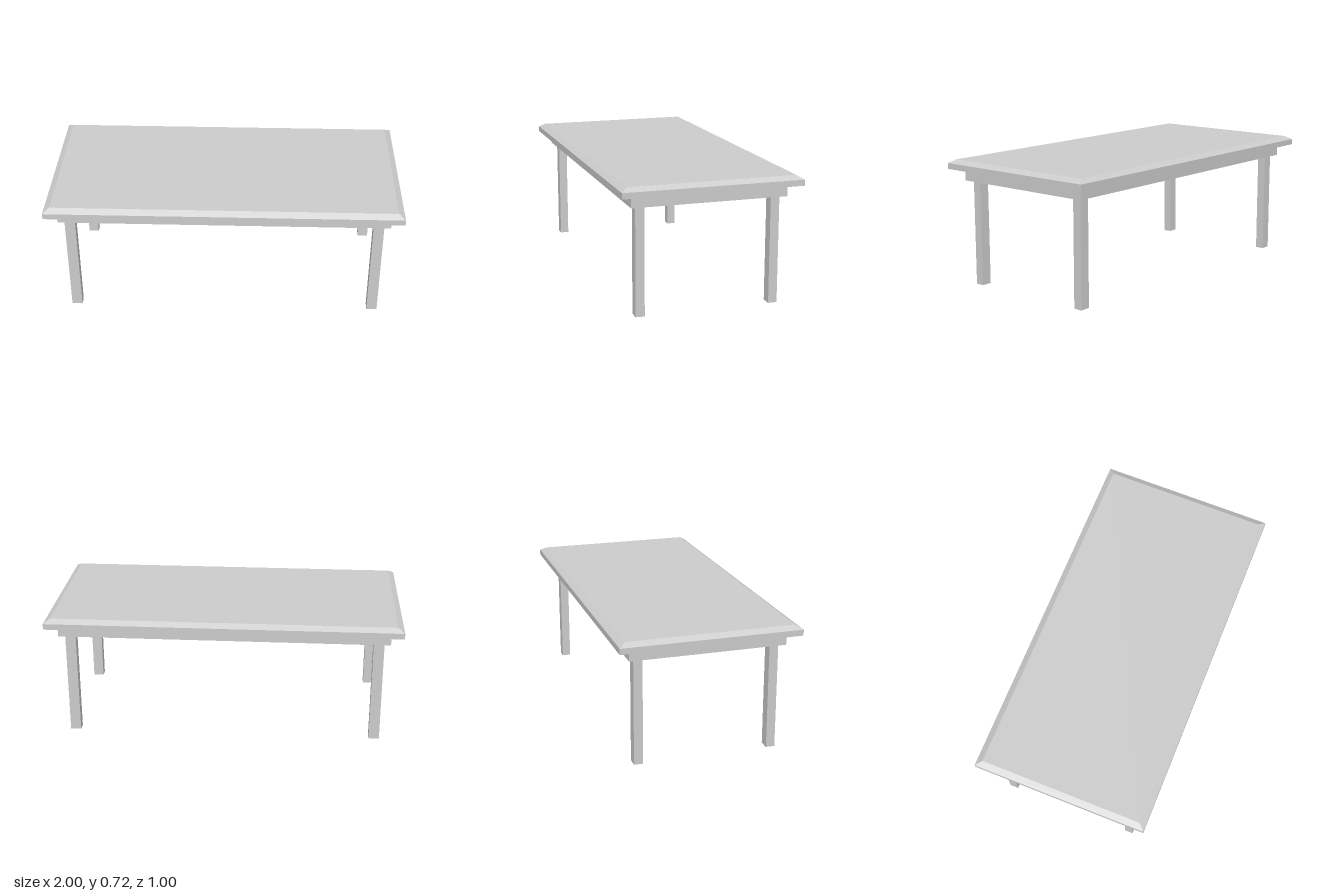
import * as THREE from 'three';

const material = new THREE.MeshStandardMaterial({ color: 0xcccccc, flatShading: true });

function addMesh(parent, name, geometry, x = 0, y = 0, z = 0) {
  const mesh = new THREE.Mesh(geometry, material);
  mesh.name = name;
  mesh.position.set(x, y, z);
  parent.add(mesh);
  return mesh;
}

// Slab with an upright lower edge and a bevelled upper edge
function tableTopGeometry(width, depth, bottom, rim, top, inset) {
  const box = new THREE.BoxGeometry(width, 2, depth, 1, 2, 1);
  const p = box.attributes.position;
  for (let i = 0; i < p.count; i++) {
    const level = Math.round(p.getY(i));
    if (level === 1) {
      p.setX(i, p.getX(i) - Math.sign(p.getX(i)) * inset);
      p.setZ(i, p.getZ(i) - Math.sign(p.getZ(i)) * inset);
    }
    p.setY(i, [bottom, rim, top][level + 1]);
  }
  const geometry = box.toNonIndexed();
  geometry.computeVertexNormals();
  return geometry;
}

// Rectangular frame, open in the middle, extruded upwards
function frameGeometry(halfX, halfZ, thickness, height) {
  const corners = (x, z) => [[-x, -z], [x, -z], [x, z], [-x, z]].map(([a, b]) => new THREE.Vector2(a, b));
  const shape = new THREE.Shape(corners(halfX, halfZ));
  shape.holes.push(new THREE.Path(corners(halfX - thickness, halfZ - thickness)));
  const geometry = new THREE.ExtrudeGeometry(shape, { depth: height, bevelEnabled: false });
  return geometry.rotateX(-Math.PI / 2);
}

export function createModel() {
  const table = new THREE.Group();
  table.name = 'table';

  const underside = 0.668;
  addMesh(table, 'tableTop', tableTopGeometry(2, 1, underside, 0.701, 0.722, 0.035));

  // Apron under the top
  const apronBottom = 0.601;
  addMesh(table, 'apron', frameGeometry(0.933, 0.433, 0.033, underside - apronBottom), 0, apronBottom, 0);

  // Square legs standing in the inner corners of the apron
  const legWidth = 0.06, legDepth = 0.05;
  const legs = new THREE.Group();
  legs.name = 'legs';
  table.add(legs);
  for (const [sx, side] of [[1, 'Left'], [-1, 'Right']]) {
    for (const [sz, end] of [[1, 'front'], [-1, 'back']]) {
      addMesh(legs, `${end}${side}Leg`, new THREE.BoxGeometry(legWidth, underside, legDepth),
        sx * (0.9 - legWidth / 2), underside / 2, sz * (0.402 - legDepth / 2));
    }
  }
  return table;
}
